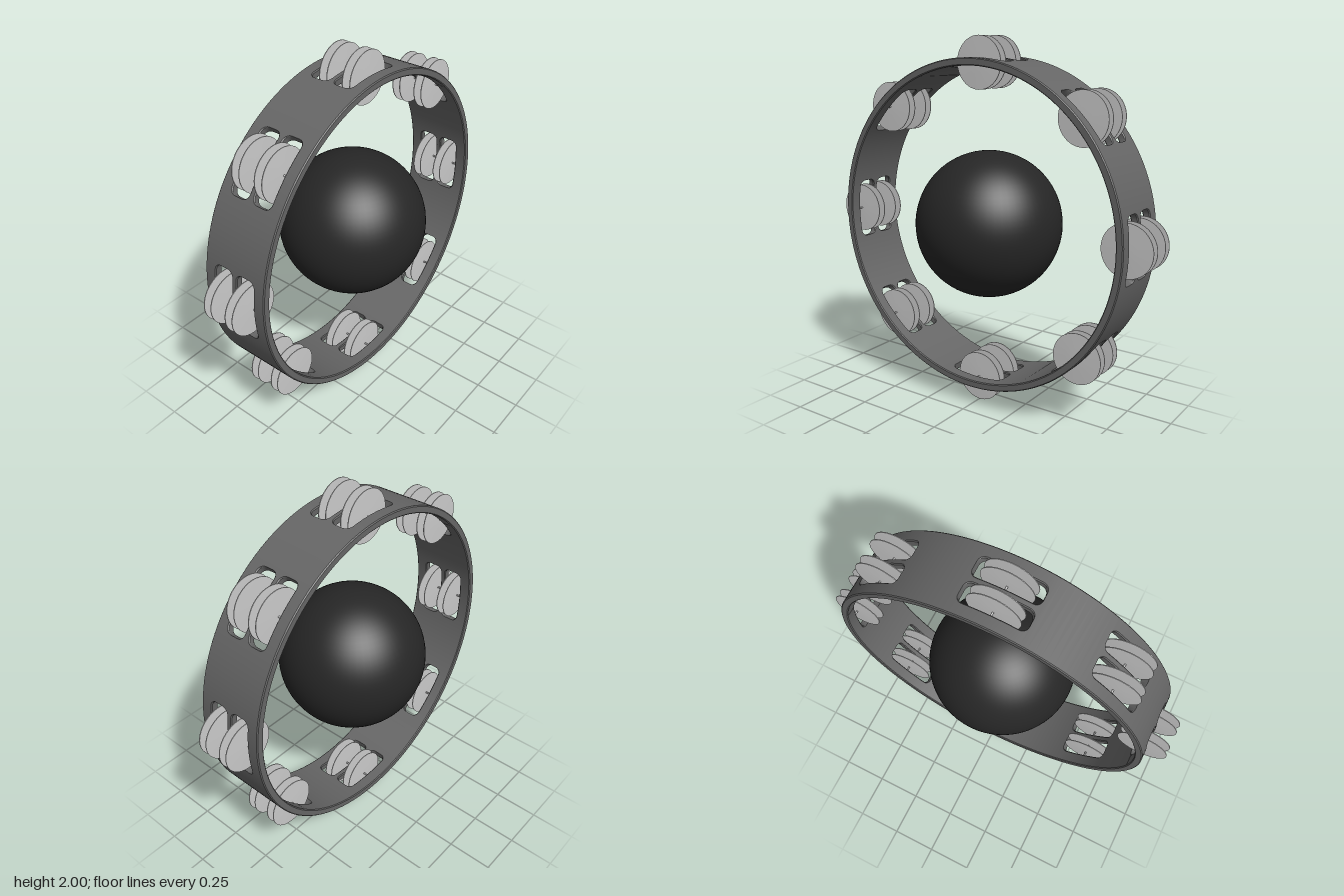
import * as THREE from 'three';
import { toCreasedNormals } from 'three/addons/utils/BufferGeometryUtils.js';

const COUNT = 8, STEP = Math.PI * 2 / COUNT;
const R_IN = 0.85, R_OUT = 0.89, HALF_DEPTH = 0.19, BEVEL = 0.005;
const SLOT_Z = 0.069, SLOT_HALF_W = 0.053, SLOT_HALF_L = 0.175, SLOT_R = 0.035;
const JINGLE_R = 0.1375, JINGLE_ORBIT = 0.8625;

// Sweeps a bevelled rectangle round the z axis; stations are [angle, z0, z1].
function addRail(out, stations) {
  const rings = stations.map(([angle, z0, z1]) => {
    const b = BEVEL;
    const section = [
      [R_IN + b, z0], [R_OUT - b, z0], [R_OUT, z0 + b], [R_OUT, z1 - b],
      [R_OUT - b, z1], [R_IN + b, z1], [R_IN, z1 - b], [R_IN, z0 + b],
    ];
    return section.map(([r, z]) => [r * Math.cos(angle), r * Math.sin(angle), z]);
  });
  const n = 8;
  for (let i = 0; i < rings.length - 1; i++) {
    for (let j = 0; j < n; j++) {
      const k = (j + 1) % n;
      const a = rings[i][j], b = rings[i + 1][j], c = rings[i + 1][k], d = rings[i][k];
      out.push(...a, ...b, ...c, ...a, ...c, ...d);
    }
  }
  const first = rings[0], last = rings[rings.length - 1];
  for (let j = 1; j < n - 1; j++) {
    out.push(...first[0], ...first[j], ...first[j + 1]);
    out.push(...last[0], ...last[j + 1], ...last[j]);
  }
}

// Outline of one round-cornered slot as [angle offset, half width].
function slotOutline() {
  const half = [];
  for (let k = 0; k <= 5; k++) {
    const p = k / 5 * Math.PI / 2;
    half.push([SLOT_HALF_L - SLOT_R * (1 - Math.cos(p)), SLOT_HALF_W - SLOT_R * (1 - Math.sin(p))]);
  }
  for (let k = 1; k <= 4; k++) half.push([(SLOT_HALF_L - SLOT_R) * (1 - k / 4), SLOT_HALF_W]);
  const angled = half.map(([s, h]) => [Math.asin(s / R_OUT), h]);
  return [...angled.map(([a, h]) => [-a, h]), ...angled.slice(0, -1).reverse()];
}

function bandGeometry() {
  const out = [], outline = slotOutline();
  const slotAngle = Math.asin(SLOT_HALF_L / R_OUT), SEGMENTS = 10;
  for (let i = 0; i < COUNT; i++) {
    const mid = i * STEP;
    // three rails frame the pair of slots
    addRail(out, outline.map(([a, h]) => [mid + a, -HALF_DEPTH, -SLOT_Z - h]));
    addRail(out, outline.map(([a, h]) => [mid + a, -SLOT_Z + h, SLOT_Z - h]));
    addRail(out, outline.map(([a, h]) => [mid + a, SLOT_Z + h, HALF_DEPTH]));
    // solid stretch up to the next pair
    const solid = [];
    for (let k = 0; k <= SEGMENTS; k++) {
      const angle = mid + slotAngle + (STEP - 2 * slotAngle) * k / SEGMENTS;
      solid.push([angle, -HALF_DEPTH, HALF_DEPTH]);
    }
    addRail(out, solid);
  }
  const geometry = new THREE.BufferGeometry();
  geometry.setAttribute('position', new THREE.Float32BufferAttribute(out, 3));
  return toCreasedNormals(geometry, 0.5);
}

export function createModel() {
  const model = new THREE.Group();
  model.name = 'tambourine';
  const bandMaterial = new THREE.MeshStandardMaterial({ color: 0x666666 });
  const ballMaterial = new THREE.MeshStandardMaterial({ color: 0x262626 });
  const metal = new THREE.MeshStandardMaterial({ color: 0xcccccc });

  const add = (parent, name, geometry, material) => {
    const mesh = new THREE.Mesh(geometry, material);
    mesh.name = name;
    parent.add(mesh);
    return mesh;
  };

  // Slotted hoop
  add(model, 'band', bandGeometry(), bandMaterial).position.y = 1;

  // Ball in the middle
  add(model, 'ball', new THREE.SphereGeometry(0.4, 64, 40), ballMaterial).position.y = 1;

  // Thin jingle plate, slightly thicker at the centre
  const profile = [[0, -0.005], [0.06, -0.004], [JINGLE_R, -0.002], [JINGLE_R, 0.002], [0.06, 0.004], [0, 0.005]];
  const plate = toCreasedNormals(
    new THREE.LatheGeometry(profile.map(([r, y]) => new THREE.Vector2(r, y)), 48).rotateX(Math.PI / 2), 0.5);
  const pin = new THREE.CylinderGeometry(0.005, 0.005, 0.3, 12).rotateX(Math.PI / 2);

  // Two pairs of jingles on a pin at every station
  for (let i = 0; i < COUNT; i++) {
    const station = new THREE.Group();
    station.name = 'jingleSet' + (i + 1);
    station.position.set(JINGLE_ORBIT * Math.cos(i * STEP), 1 + JINGLE_ORBIT * Math.sin(i * STEP), 0);
    for (const z of [-0.092, -0.047, 0.047, 0.092]) add(station, 'jingle', plate, metal).position.z = z;
    add(station, 'pin', pin, metal);
    model.add(station);
  }
  return model;
}
